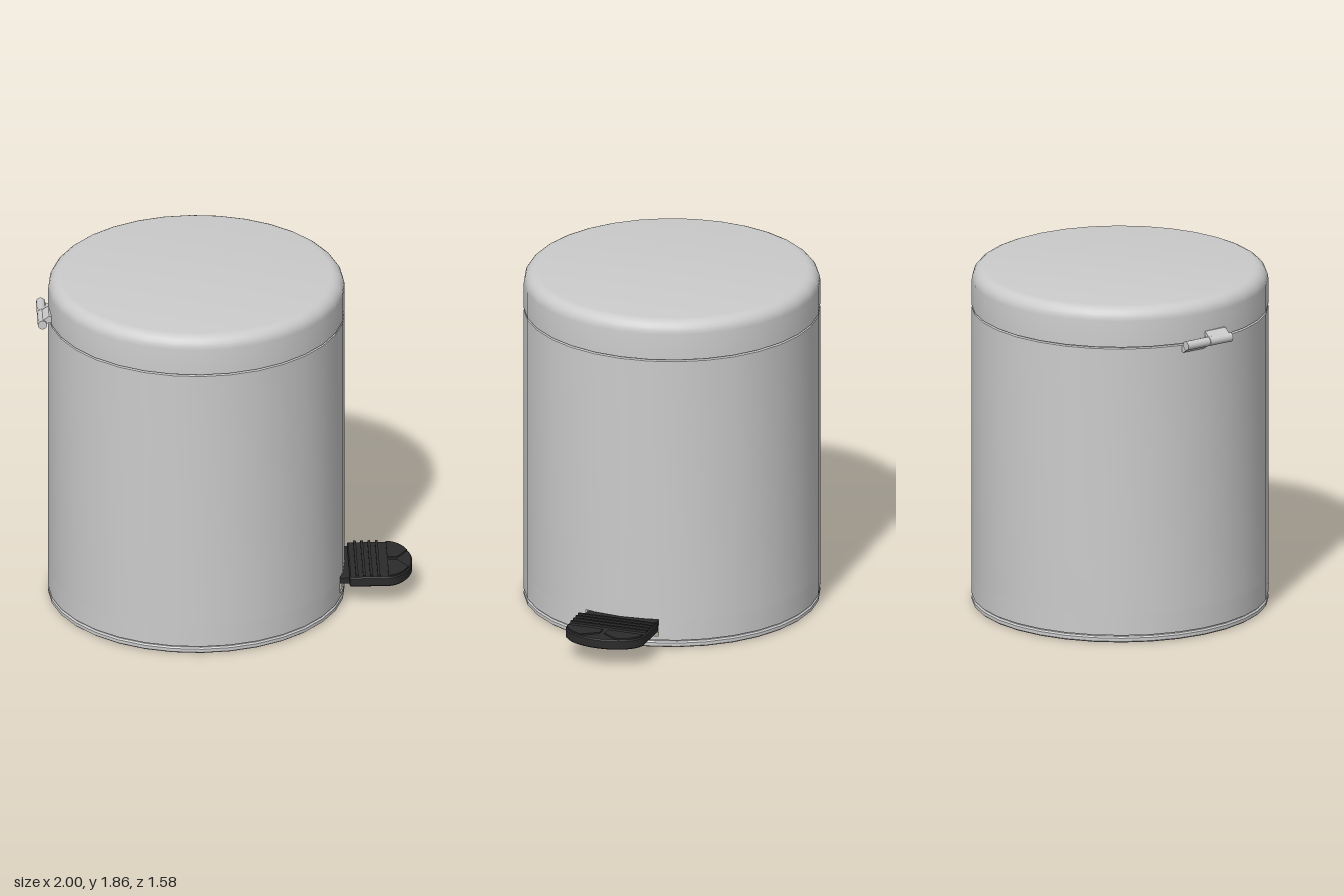
import * as THREE from 'three';
import { toCreasedNormals } from 'three/addons/utils/BufferGeometryUtils.js';

const R = 0.79, CX = -0.15, SIDES = 32, STEP = (Math.PI * 2) / SIDES;
const SLOT = { low: 0.065, high: 0.16, half: 0.205 };

const steel = new THREE.MeshStandardMaterial({ color: 0xcccccc });
const sheet = new THREE.MeshStandardMaterial({ color: 0xcccccc, side: THREE.DoubleSide });
const rubber = new THREE.MeshStandardMaterial({ color: 0x2b2b2b });

function add(parent, name, geometry, material, x = 0, y = 0, z = 0) {
  const mesh = new THREE.Mesh(geometry, material);
  mesh.name = name;
  mesh.position.set(x, y, z);
  parent.add(mesh);
  return mesh;
}

// Turned part from [radius, height] pairs, listed so that faces point outward
function turned(pairs) {
  const points = pairs.map(([r, y]) => new THREE.Vector2(r, y));
  return toCreasedNormals(new THREE.LatheGeometry(points, SIDES), 0.6);
}

// Band of wall with an opening around +x, its ends trimmed along the facets
function slottedBand(low, high) {
  const points = [new THREE.Vector2(R, low), new THREE.Vector2(R, high)];
  const n = SIDES - 2;
  const geo = new THREE.LatheGeometry(points, n, Math.PI / 2 + STEP, Math.PI * 2 - 2 * STEP);
  const pos = geo.attributes.position;
  const z1 = R * Math.sin(STEP), z2 = R * Math.sin(2 * STEP);
  const t = (SLOT.half - z1) / (z2 - z1);
  for (const [end, next] of [[0, 1], [n, n - 1]]) {
    for (let j = 0; j < 2; j++) {
      const a = new THREE.Vector3().fromBufferAttribute(pos, end * 2 + j);
      a.lerp(new THREE.Vector3().fromBufferAttribute(pos, next * 2 + j), t);
      pos.setXYZ(end * 2 + j, a.x, a.y, a.z);
    }
  }
  return geo;
}

// Flat outline in (x, z) raised from y = low to y = high
function slab(shape, low, high, bevel = 0) {
  const geo = new THREE.ExtrudeGeometry(shape, {
    depth: high - low - 2 * bevel, curveSegments: 14, bevelEnabled: bevel > 0,
    bevelSize: bevel, bevelThickness: bevel, bevelOffset: -bevel, bevelSegments: 1,
  });
  geo.rotateX(-Math.PI / 2);
  geo.translate(0, low + bevel, 0);
  return toCreasedNormals(geo, 0.5);
}

function createBin() {
  const bin = new THREE.Group();
  bin.name = 'bin';
  bin.position.x = CX;

  // Foot ring with recessed underside
  add(bin, 'footRing', turned([
    [0, 0.035], [0.67, 0.035], [0.71, 0.02], [0.725, 0], [0.78, 0], [R, 0.008],
    [R, 0.026], [0.782, 0.034], [0.776, 0.034], [0.776, 0.042], [R, 0.042],
  ]), steel);

  // Wall, open at the pedal slot
  add(bin, 'lowerWall', turned([[R, 0.042], [R, SLOT.low]]), sheet);
  add(bin, 'slottedWall', slottedBand(SLOT.low, SLOT.high), sheet);
  add(bin, 'wall', turned([[R, SLOT.high], [R, 1.636], [0.778, 1.64], [0.778, 1.65]]), sheet);

  // Plate behind the slot
  const depth = SLOT.high - SLOT.low;
  add(bin, 'slotPlate', new THREE.BoxGeometry(0.02, depth + 0.02, SLOT.half * 2 + 0.04), steel,
    0.68, (SLOT.low + SLOT.high) / 2, 0);

  // Lid with rounded shoulder
  const lid = [[0.775, 1.646], [R, 1.646]];
  const round = 0.07;
  for (let i = 0; i <= 6; i++) {
    const a = (i / 6) * Math.PI / 2;
    lid.push([R - round + round * Math.cos(a), 1.86 - round + round * Math.sin(a)]);
  }
  lid.push([0, 1.86]);
  add(bin, 'lid', turned(lid), steel);
  return bin;
}

function createPedal() {
  const pedal = new THREE.Group();
  pedal.name = 'pedal';

  // Arm into the slot
  add(pedal, 'pedalArm', new THREE.BoxGeometry(0.15, 0.03, 0.4), rubber, 0.6, 0.135, 0);

  // Tread plate with rounded toe
  const w = 0.222, x0 = 0.66, xc = 0.86, rx = 0.14;
  const plate = new THREE.Shape();
  plate.moveTo(x0, -w);
  plate.lineTo(xc, -w);
  plate.absellipse(xc, 0, rx, w, -Math.PI / 2, Math.PI / 2, false);
  plate.lineTo(x0, w);
  plate.closePath();
  add(pedal, 'pedalPlate', slab(plate, 0.108, 0.162, 0.006), rubber);

  // Grip ribs
  for (const x of [0.7, 0.738, 0.776, 0.816]) {
    add(pedal, 'gripRib', new THREE.BoxGeometry(0.014, 0.014, w * 2 - 0.012), rubber, x, 0.166, 0);
  }

  // Raised toe pads, mirrored across the middle
  for (const s of [1, -1]) {
    const pad = new THREE.Shape();
    pad.moveTo(0.867, s * 0.015);
    pad.lineTo(0.92, s * 0.015);
    for (let i = 0; i <= 8; i++) {
      const a = THREE.MathUtils.lerp(0.5, 1.52, i / 8);
      pad.lineTo(xc + 0.132 * Math.cos(a), s * 0.212 * Math.sin(a));
    }
    pad.closePath();
    add(pedal, 'toePad', slab(pad, 0.155, 0.17), rubber);
  }
  return pedal;
}

function createHinge() {
  const hinge = new THREE.Group();
  hinge.name = 'hinge';
  const px = -0.975, py = 1.645;

  // Each half: a knuckle and a leaf, up to the lid or down to the wall
  for (const s of [1, -1]) {
    const knuckle = new THREE.CylinderGeometry(0.025, 0.025, 0.144, 12);
    knuckle.rotateX(Math.PI / 2);
    add(hinge, 'hingeKnuckle', knuckle, steel, px, py, s * 0.073);

    const leaf = new THREE.Shape();
    leaf.moveTo(px - 0.015, py + s * 0.012);
    leaf.lineTo(-0.94, py + s * 0.047);
    leaf.lineTo(-0.915, py + s * 0.047);
    leaf.lineTo(-0.915, py + s * 0.012);
    leaf.lineTo(-0.955, py + s * 0.005);
    leaf.closePath();
    const geo = new THREE.ExtrudeGeometry(leaf, { depth: 0.132, bevelEnabled: false });
    add(hinge, s > 0 ? 'lidLeaf' : 'wallLeaf', geo, steel, 0, 0, s > 0 ? 0.004 : -0.136);
  }
  return hinge;
}

export function createModel() {
  const model = new THREE.Group();
  model.name = 'pedalBin';
  model.add(createBin(), createPedal(), createHinge());
  return model;
}
